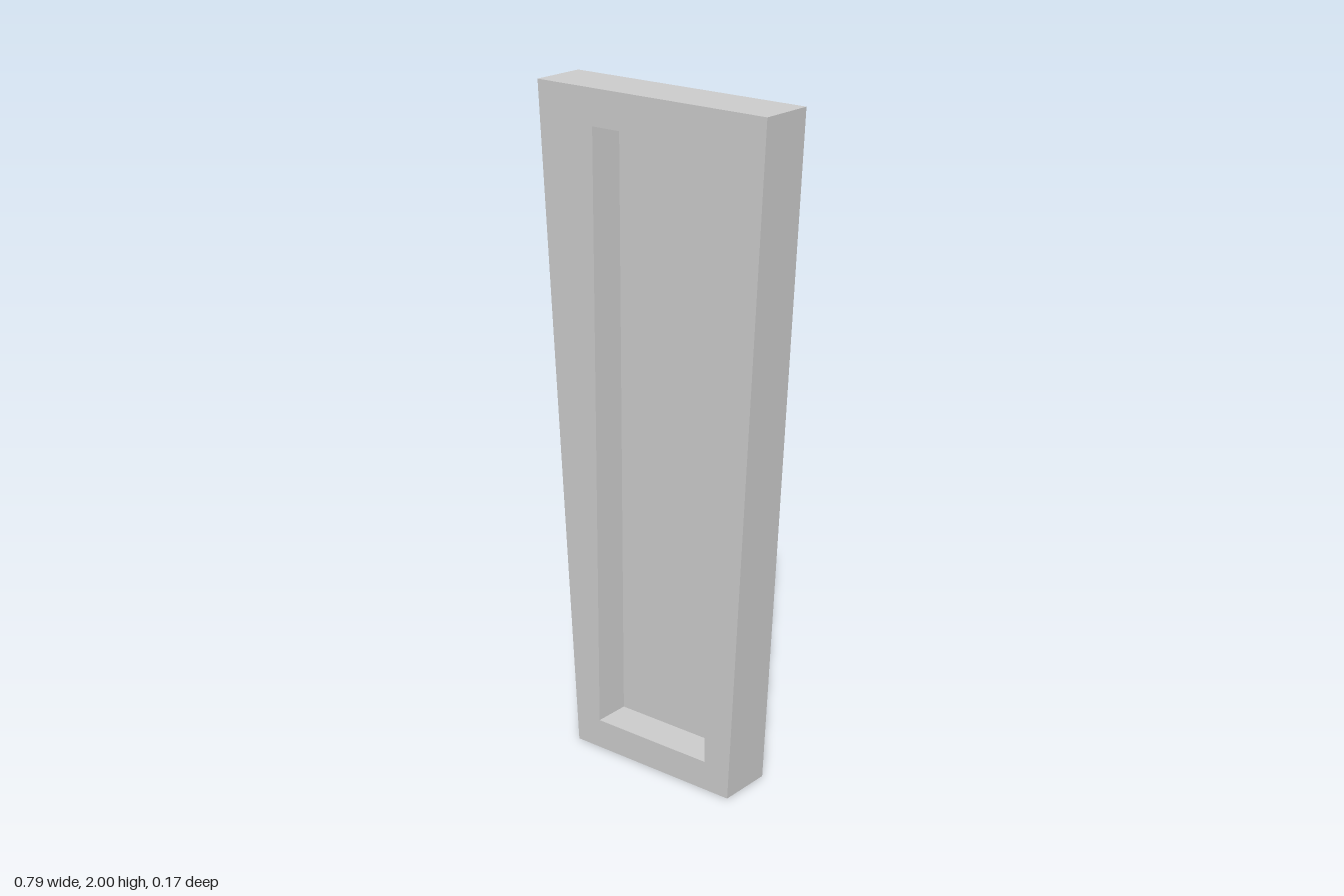
import * as THREE from 'three';

// Four corners, counter-clockwise from the front, at depth z
function ring([bottomLeft, bottomRight, topRight, topLeft], bottom, top, z) {
  return [[bottomLeft, bottom, z], [bottomRight, bottom, z], [topRight, top, z], [topLeft, top, z]];
}

// Closed shell: first ring capped behind, rings joined in order, last ring capped in front
function shell(rings) {
  const pos = [];
  const quad = (a, b, c, d) => pos.push(...a, ...b, ...c, ...a, ...c, ...d);
  quad(...[...rings[0]].reverse());
  for (let r = 0; r < rings.length - 1; r++) {
    const a = rings[r], b = rings[r + 1];
    for (let i = 0; i < 4; i++) {
      const j = (i + 1) % 4;
      quad(a[i], a[j], b[j], b[i]);
    }
  }
  quad(...rings[rings.length - 1]);
  const geometry = new THREE.BufferGeometry();
  geometry.setAttribute('position', new THREE.Float32BufferAttribute(pos, 3));
  geometry.computeVertexNormals();
  return geometry;
}

export function createModel() {
  const half = 0.084;                            // half the thickness
  const floorZ = half - 0.112;                   // bottom of the recess
  const outer = [-0.28, 0.288, 0.392, -0.394];   // tapered outline
  const recess = [-0.197, 0.204, 0.204, -0.197]; // straight pocket

  // Tapered panel with a rectangular recess in its front
  const panel = new THREE.Mesh(
    shell([
      ring(outer, 0, 2, -half),
      ring(outer, 0, 2, half),
      ring(recess, 0.09, 1.895, half),
      ring(recess, 0.09, 1.895, floorZ),
    ]),
    new THREE.MeshStandardMaterial({ color: 0xcccccc, flatShading: true })
  );
  panel.name = 'recessedPanel';

  const group = new THREE.Group();
  group.name = 'taperedPanel';
  group.add(panel);
  return group;
}
